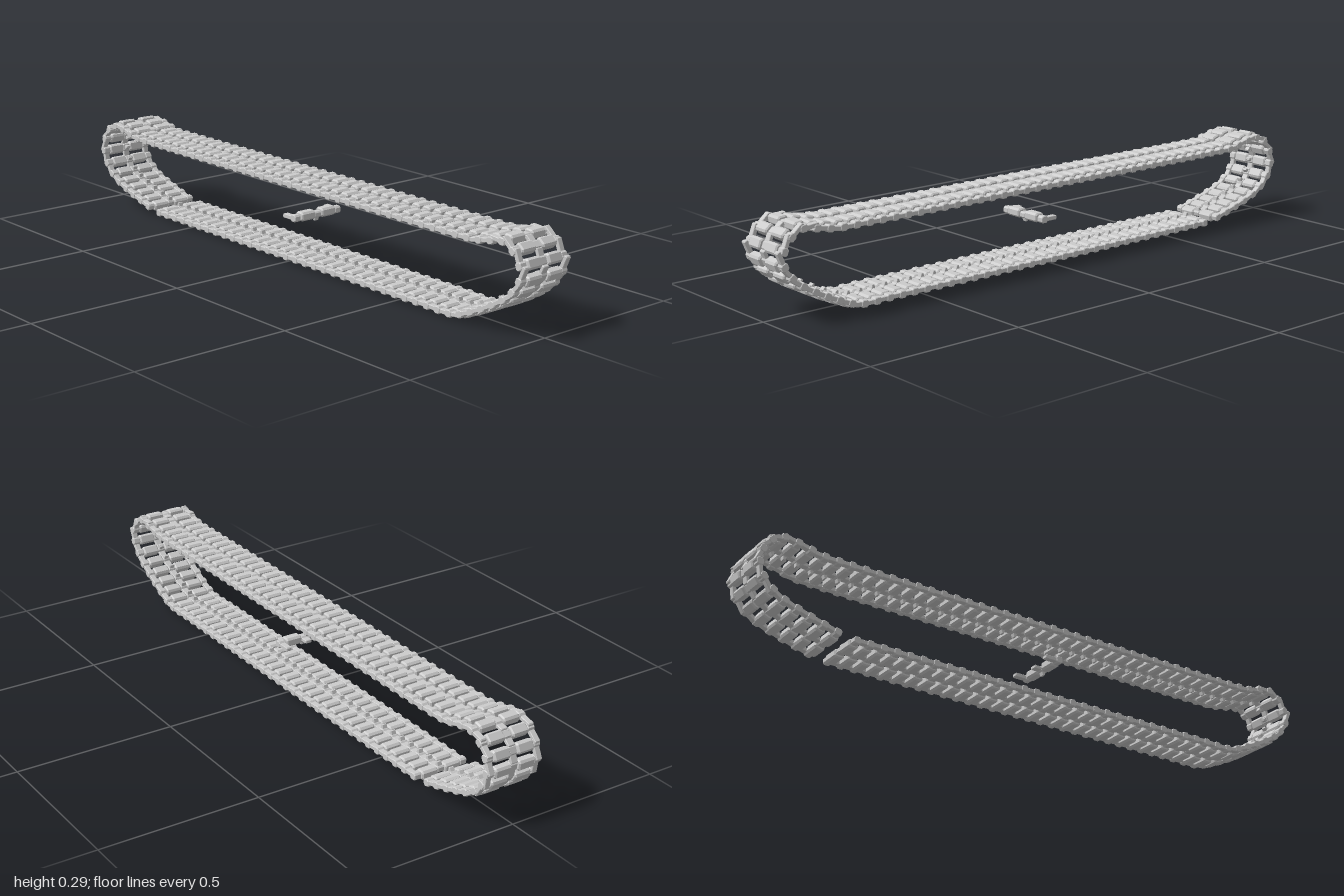
import * as THREE from 'three';
import { mergeGeometries } from 'three/addons/utils/BufferGeometryUtils.js';

const PITCH = 0.0445;
const material = new THREE.MeshStandardMaterial({ color: 0xcccccc, flatShading: true });

// Bar along z with the given (x, y) outline and chamfered ends
function bar(points, z0, z1, bevel) {
  const shape = new THREE.Shape(points.map(([x, y]) => new THREE.Vector2(x, y)));
  const geo = new THREE.ExtrudeGeometry(shape, {
    depth: z1 - z0 - 2 * bevel, bevelEnabled: true, bevelSegments: 1,
    bevelSize: bevel, bevelThickness: bevel, bevelOffset: -bevel
  });
  return geo.translate(0, 0, z0 + bevel);
}

// Rectangle outline with cut corners
function cutRect(x0, x1, y0, y1, c) {
  return [[x0 + c, y0], [x1 - c, y0], [x1, y0 + c], [x1, y1 - c],
    [x1 - c, y1], [x0 + c, y1], [x0, y1 - c], [x0, y0 + c]];
}

// One link: +x runs along the track, +y points outwards
function linkGeometry(withConnectors) {
  const parts = [];
  for (const s of [-1, 1]) {
    const span = (a, b) => (s > 0 ? [a, b] : [-b, -a]);
    // tread pad
    parts.push(bar(cutRect(-0.0165, 0.0165, -0.012, 0.016, 0.006), ...span(0.013, 0.067), 0.004));
    // pin end
    parts.push(bar(cutRect(-0.012, 0.012, -0.011, 0.011, 0.005), ...span(0.069, 0.092), 0.002));
    // side connector reaching the next link
    if (withConnectors) {
      parts.push(bar(cutRect(0.006, 0.05, -0.007, 0.006, 0.003), ...span(0.072, 0.09), 0.0015));
    }
  }
  // centre block with inner guide tooth
  parts.push(bar(cutRect(-0.013, 0.013, -0.01, 0.009, 0.004), -0.012, 0.012, 0.002));
  parts.push(bar([[-0.007, -0.009], [-0.003, -0.021], [0.003, -0.021], [0.007, -0.009]], -0.008, 0.008, 0.001));
  // centre connector
  if (withConnectors) parts.push(bar(cutRect(0.006, 0.036, -0.006, 0.005, 0.002), -0.011, 0.011, 0.0015));
  // through pin
  parts.push(new THREE.CylinderGeometry(0.006, 0.006, 0.17, 8).rotateX(Math.PI / 2).toNonIndexed());
  return mergeGeometries(parts);
}

export function createModel() {
  const model = new THREE.Group();
  model.name = 'crawlerTrack';

  // Centre line of the belt, from one side of the bottom gap round to the other
  const path = new THREE.CatmullRomCurve3([
    [-0.665, 0.017], [-0.5, 0.017], [0, 0.017], [0.6, 0.017], [0.735, 0.018], [0.79, 0.037],
    [0.89, 0.086], [0.95, 0.128], [0.984, 0.185], [0.965, 0.238], [0.92, 0.268],
    [0.87, 0.262], [0.81, 0.252], [0.7, 0.25], [0, 0.25], [-0.7, 0.25], [-0.79, 0.252],
    [-0.85, 0.265], [-0.91, 0.272], [-0.96, 0.242], [-0.985, 0.185], [-0.965, 0.128],
    [-0.92, 0.088], [-0.85, 0.06], [-0.77, 0.037], [-0.728, 0.026]
  ].map(([x, y]) => new THREE.Vector3(x, y, 0)), false, 'centripetal');
  path.arcLengthDivisions = 2000;

  const link = linkGeometry(true);
  const endLink = linkGeometry(false);
  const track = new THREE.Group();
  track.name = 'trackBelt';
  const count = Math.round(path.getLength() / PITCH);
  for (let i = 0; i <= count; i++) {
    const u = i / count;
    const t = path.getTangentAt(u);
    const mesh = new THREE.Mesh(i < count ? link : endLink, material);
    mesh.name = 'trackLink';
    mesh.position.copy(path.getPointAt(u));
    // half turn about x puts the outer face down, then follow the path
    mesh.rotation.set(Math.PI, 0, Math.atan2(t.y, t.x), 'ZYX');
    track.add(mesh);
  }
  model.add(track);

  // Loose link inside the loop
  const spare = new THREE.Mesh(link, material);
  spare.name = 'spareLink';
  spare.position.set(0.043, 0.148, 0);
  spare.rotation.y = Math.PI;
  model.add(spare);
  return model;
}
